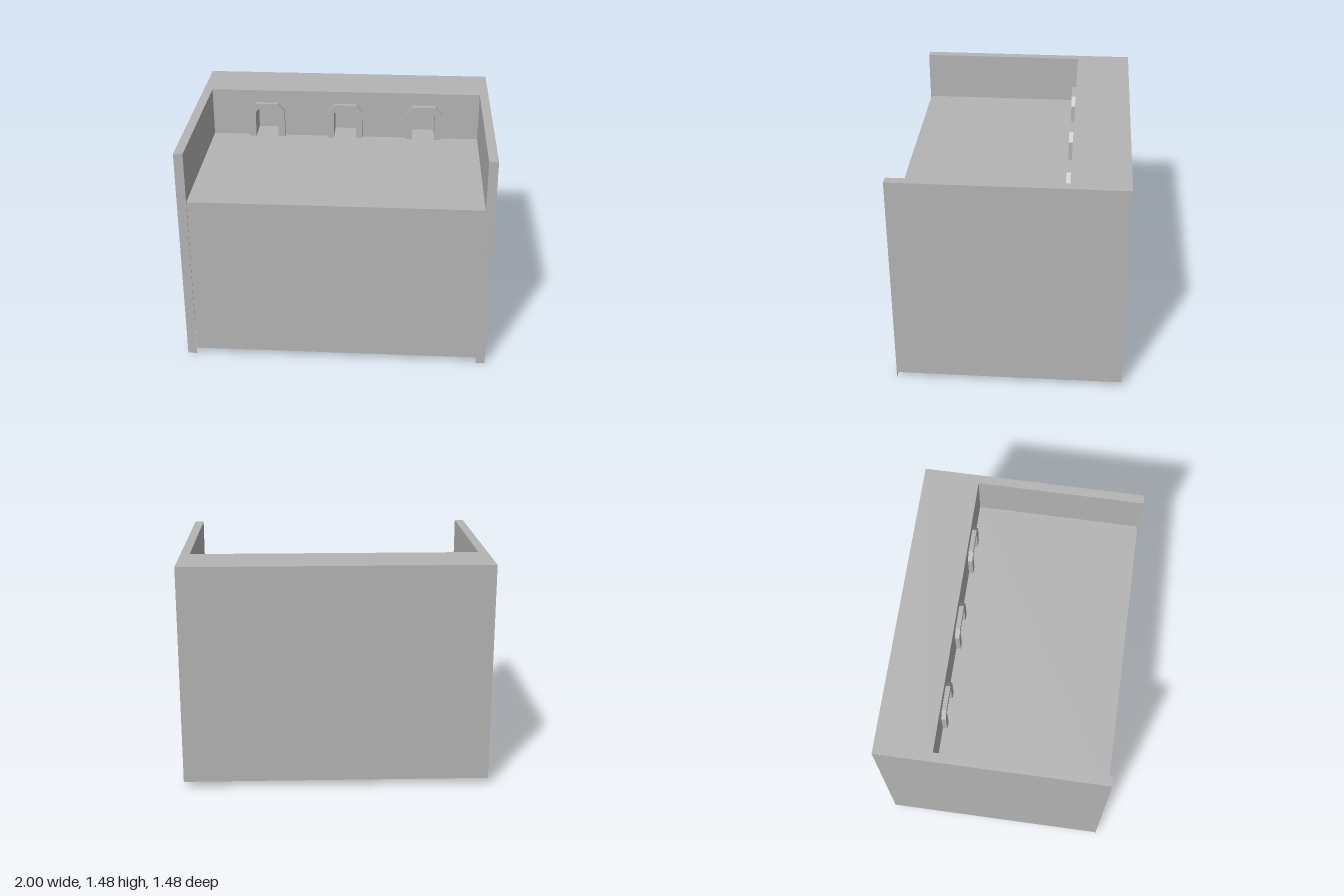
import * as THREE from 'three';

const BASE = 0.04, COUNTER = 1.145, TOP = 1.48; // heights
const HALF_W = 1, INNER = 0.94;                 // outer and inner half widths
const BACK = -0.74, SPLASH = -0.37, FRONT = 0.74;

// Arch outline running from the foot of one leg over to the other
function archPoints(half, shoulder, flat, top) {
  return [[-half, COUNTER], [-half, shoulder], [-flat, top],
    [flat, top], [half, shoulder], [half, COUNTER]];
}
const outer = archPoints(0.126, 1.335, 0.08, 1.39);
const inner = archPoints(0.079, 1.328, 0.057, 1.35);
const toShape = (pts) => new THREE.Shape(pts.map(([x, y]) => new THREE.Vector2(x, y)));

export function createModel() {
  const group = new THREE.Group();
  const grey = new THREE.MeshStandardMaterial({ color: 0xb4b4b4, side: THREE.DoubleSide });
  grey.name = 'plain grey';

  function add(name, geometry, x = 0, y = 0, z = 0) {
    const mesh = new THREE.Mesh(geometry, grey);
    mesh.name = name;
    mesh.position.set(x, y, z);
    group.add(mesh);
    return mesh;
  }
  // Thin sheets facing +z, +x and +y, given by their extents
  const sheetZ = (name, x0, x1, y0, y1, z) =>
    add(name, new THREE.PlaneGeometry(x1 - x0, y1 - y0), (x0 + x1) / 2, (y0 + y1) / 2, z);
  const sheetX = (name, x, y0, y1, z0, z1, sign) =>
    add(name, new THREE.PlaneGeometry(z1 - z0, y1 - y0).rotateY(sign * Math.PI / 2),
      x, (y0 + y1) / 2, (z0 + z1) / 2);
  const sheetY = (name, x0, x1, y, z0, z1) =>
    add(name, new THREE.PlaneGeometry(x1 - x0, z1 - z0).rotateX(-Math.PI / 2),
      (x0 + x1) / 2, y, (z0 + z1) / 2);

  // Hollow cabinet shell, open underneath
  sheetZ('frontPanel', -INNER, INNER, BASE, COUNTER, 0.735);
  sheetZ('backPanel', -HALF_W, HALF_W, BASE, TOP, BACK).rotation.y = Math.PI;
  sheetY('counter', -INNER, INNER, COUNTER, SPLASH, 0.735);
  sheetY('backLedge', -HALF_W, HALF_W, TOP, BACK, SPLASH);

  // Side walls, their top rims and the front strips that end in small feet
  for (const s of [-1, 1]) {
    const a = Math.min(s * INNER, s * HALF_W), b = Math.max(s * INNER, s * HALF_W);
    sheetX('outerSide', s * HALF_W, BASE, TOP, BACK, FRONT, s);
    sheetX('innerSide', s * INNER, COUNTER, TOP, SPLASH, FRONT, -s);
    sheetY('sideRim', a, b, TOP, SPLASH, FRONT);
    sheetZ('frontStrip', a, b, 0, TOP, FRONT);
  }

  // Splash wall with three arched openings cut up from the counter
  const arches = [-0.555, 0, 0.555];
  const wall = [[-INNER, TOP], [-INNER, COUNTER]];
  for (const cx of arches) wall.push(...inner.map(([x, y]) => [x + cx, y]));
  wall.push([INNER, COUNTER], [INNER, TOP]);
  add('splashWall', new THREE.ShapeGeometry(toShape(wall)), 0, 0, SPLASH);

  // Raised arch frames with a closed recess behind each
  const frame = toShape([...outer, ...inner.slice().reverse()]);
  const depth = 0.15;
  for (const cx of arches) {
    add('archFrame', new THREE.ExtrudeGeometry(frame, { depth: 0.03, bevelEnabled: false }),
      cx, 0, SPLASH);

    const lining = [];
    for (let i = 0; i < inner.length - 1; i++) {
      const [x0, y0] = inner[i], [x1, y1] = inner[i + 1];
      lining.push(x0, y0, 0, x1, y1, 0, x1, y1, -depth, x0, y0, 0, x1, y1, -depth, x0, y0, -depth);
    }
    const tunnel = new THREE.BufferGeometry();
    tunnel.setAttribute('position', new THREE.Float32BufferAttribute(lining, 3));
    tunnel.computeVertexNormals();
    // Normals point into the opening
    add('recessLining', tunnel, cx, 0, SPLASH);
    add('recessBack', new THREE.ShapeGeometry(toShape(inner)), cx, 0, SPLASH - depth);
    sheetY('recessFloor', cx - 0.079, cx + 0.079, COUNTER, SPLASH - depth, SPLASH);
  }
  return group;
}
